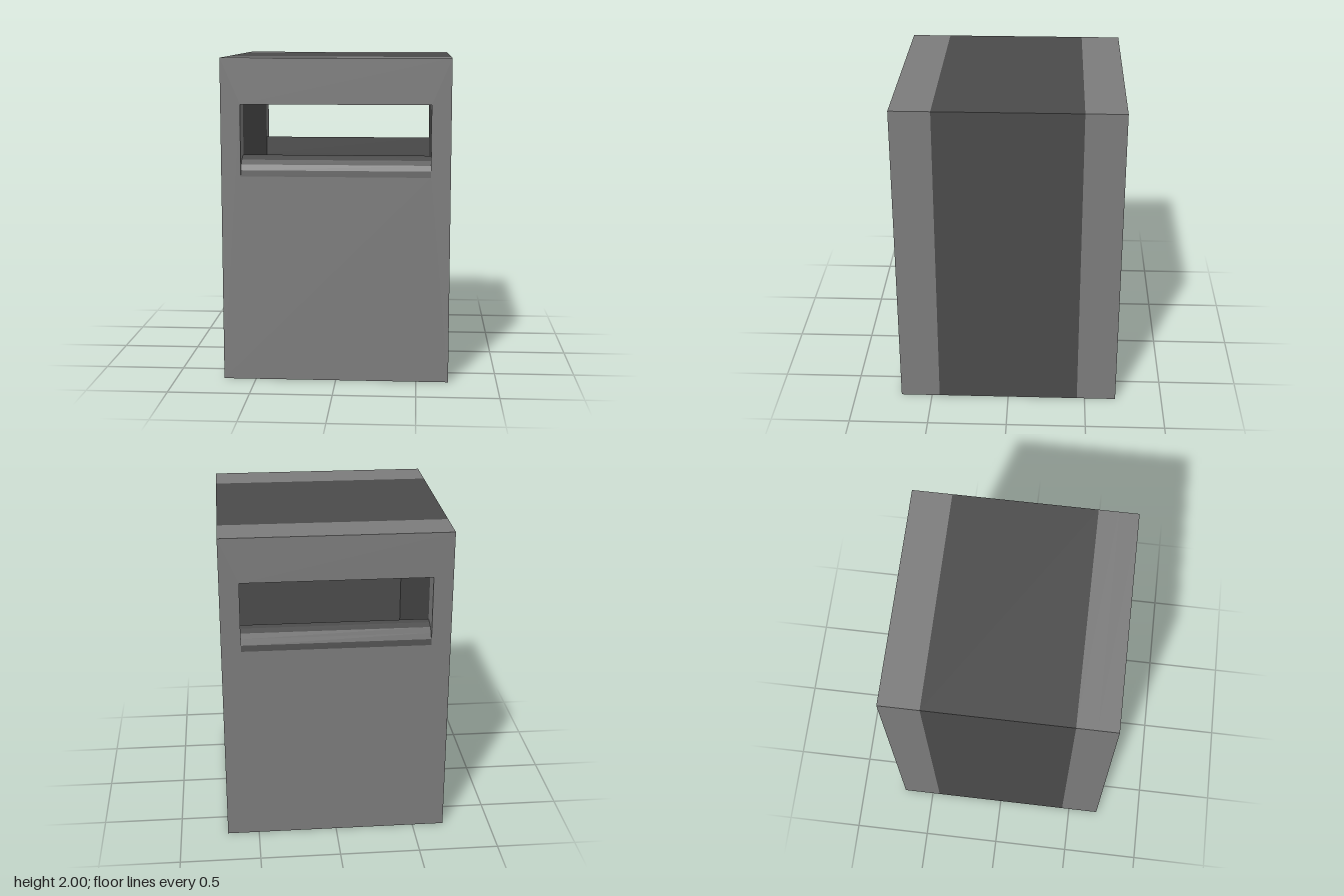
import * as THREE from 'three';

const light = new THREE.MeshStandardMaterial({ color: 0x7c7c7c });
light.name = 'light grey';
const dark = new THREE.MeshStandardMaterial({ color: 0x4b4b4b });
dark.name = 'dark grey';

const HALF = 0.7, HEIGHT = 2, BAND = 0.45; // outer shell, edge of the dark middle band
const IN = 0.58, INNER_Z = 0.57, FLOOR = 0.12, CEIL = 1.72; // hollow inside
const SILL = 1.28, LIP_TOP = 1.4; // slot
const SKIN = 0.004;

// Upright rectangle with a rectangular hole, extruded from z0 to z1
function frame(name, material, z0, z1, [hw, y0, y1], [holeHw, h0, h1]) {
  const shape = new THREE.Shape();
  shape.moveTo(-hw, y0).lineTo(hw, y0).lineTo(hw, y1).lineTo(-hw, y1).closePath();
  const hole = new THREE.Path();
  hole.moveTo(-holeHw, h0).lineTo(-holeHw, h1).lineTo(holeHw, h1).lineTo(holeHw, h0).closePath();
  shape.holes.push(hole);
  const geometry = new THREE.ExtrudeGeometry(shape, { depth: z1 - z0, bevelEnabled: false });
  geometry.translate(0, 0, z0);
  const mesh = new THREE.Mesh(geometry, material);
  mesh.name = name;
  return mesh;
}

// Rounded sill that slopes up into the slot
function lip() {
  const depth = HALF - INNER_Z, rise = LIP_TOP - SILL;
  const shape = new THREE.Shape();
  shape.moveTo(INNER_Z, SILL).lineTo(HALF, SILL);
  for (let i = 1; i <= 5; i++) {
    const a = (i / 5) * Math.PI / 2;
    shape.lineTo(INNER_Z + depth * Math.cos(a), SILL + rise * Math.sin(a));
  }
  shape.closePath();
  const geometry = new THREE.ExtrudeGeometry(shape, { depth: 2 * IN, bevelEnabled: false });
  geometry.rotateY(-Math.PI / 2).translate(IN, 0, 0);
  const mesh = new THREE.Mesh(geometry, dark);
  mesh.name = 'slotLip';
  return mesh;
}

// One light end: slotted wall, rim, dark inner face and lip
function end(name) {
  const group = new THREE.Group();
  group.name = name;
  const outer = [HALF, 0, HEIGHT];
  const slot = [IN, SILL, CEIL];
  const cavity = [IN + SKIN, FLOOR - SKIN, CEIL + SKIN];
  group.add(
    frame('slottedWall', light, INNER_Z + SKIN, HALF, outer, slot),
    frame('rim', light, BAND, INNER_Z + SKIN, outer, cavity),
    frame('innerFace', dark, INNER_Z, INNER_Z + SKIN, cavity, slot),
    lip()
  );
  return group;
}

export function createModel() {
  const model = new THREE.Group();
  model.name = 'slottedBin';

  const front = end('frontEnd');
  const back = end('backEnd');
  back.rotation.y = Math.PI;

  // Dark middle band and the lining of the hollow
  const cavity = [IN + SKIN, FLOOR - SKIN, CEIL + SKIN];
  const band = frame('middleBand', dark, -BAND, BAND, [HALF, SKIN, HEIGHT], cavity);
  const lining = frame('lining', dark, -INNER_Z, INNER_Z, cavity, [IN, FLOOR, CEIL]);

  // Light underside below the band
  const base = new THREE.Mesh(new THREE.BoxGeometry(2 * HALF, SKIN, 2 * BAND), light);
  base.name = 'underside';
  base.position.y = SKIN / 2;

  model.add(front, back, band, lining, base);
  return model;
}
